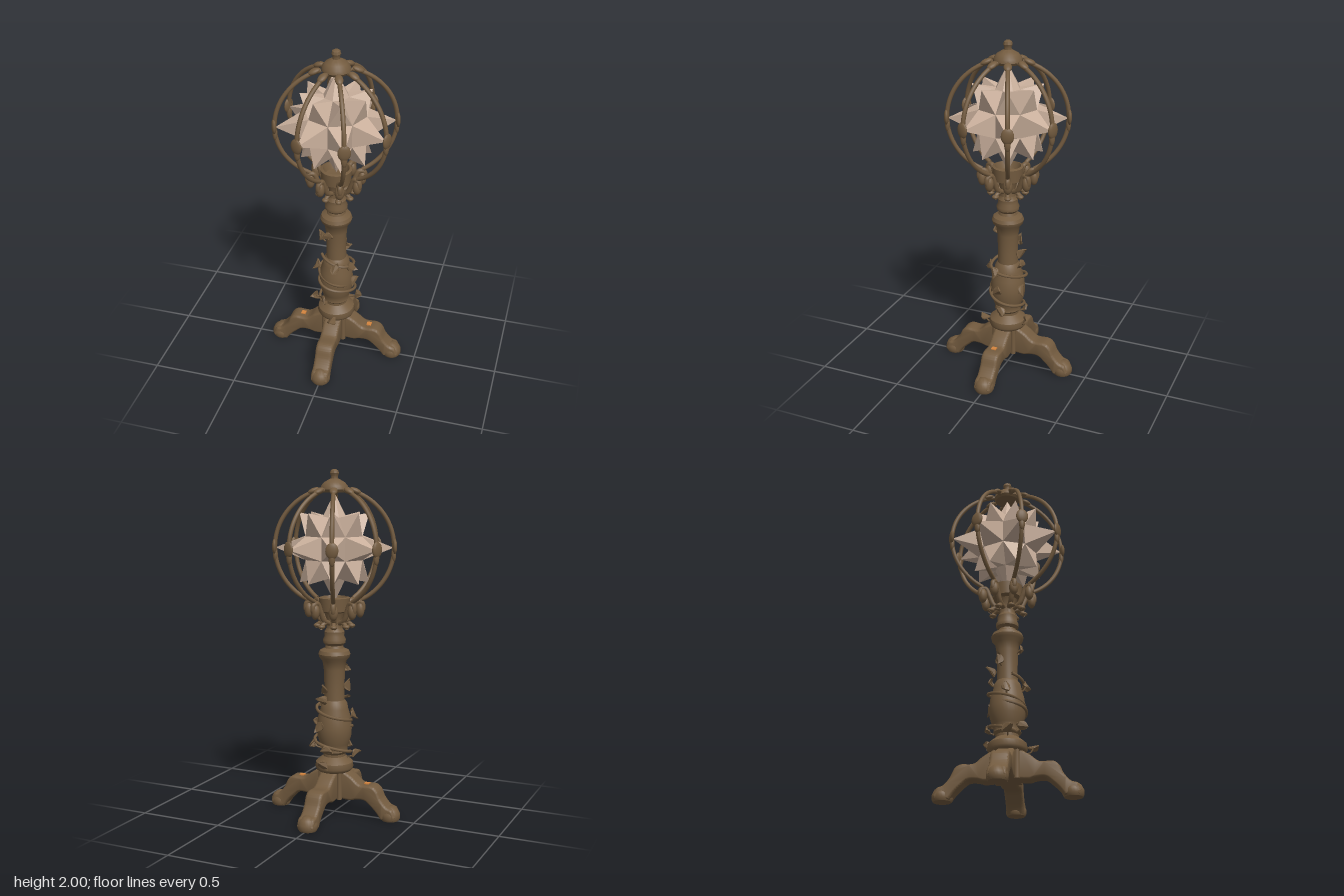
import * as THREE from 'three';
import { toCreasedNormals } from 'three/addons/utils/BufferGeometryUtils.js';

const material = (name, color, extra = {}) => {
  const m = new THREE.MeshStandardMaterial({ color, ...extra });
  m.name = name;
  return m;
};
const v2 = (p) => new THREE.Vector2(p[0], p[1]);
const v3 = (x, y, z) => new THREE.Vector3(x, y, z);

export function createModel() {
  const bronze = material('bronze', 0x735b3f, { side: THREE.DoubleSide });
  const glass = material('pale glass', 0xcbb19d, { flatShading: true, side: THREE.DoubleSide });
  const amber = material('amber', 0xd4853f);
  const root = new THREE.Group();
  root.name = 'starLamp';

  const add = (parent, name, geometry, mat = bronze, pos = [0, 0, 0], scale = [1, 1, 1]) => {
    const m = new THREE.Mesh(geometry, mat);
    m.name = name;
    m.position.set(...pos);
    m.scale.set(...scale);
    parent.add(m);
    return m;
  };
  // calls build() with a group turned to each of n directions, local +x pointing outward
  const around = (n, offset, name, build) => {
    for (let i = 0; i < n; i++) {
      const g = new THREE.Group();
      g.name = name;
      g.rotation.y = offset + (i * Math.PI * 2) / n;
      build(g, i);
      root.add(g);
    }
  };
  const lathe = (pts, seg = 32) => toCreasedNormals(new THREE.LatheGeometry(pts.map(v2), seg), 0.6);
  const tube = (pts, r, seg = 24, sides = 8) =>
    new THREE.TubeGeometry(new THREE.CatmullRomCurve3(pts.map((p) => v3(...p))), seg, r, sides);
  const ball = new THREE.SphereGeometry(1, 14, 10);

  // turned column from the leg hub up to the cup under the cage
  add(root, 'column', lathe([
    [0, 0.1], [0.075, 0.1], [0.085, 0.12], [0.085, 0.25], [0.105, 0.265], [0.112, 0.28], [0.108, 0.31],
    [0.085, 0.33], [0.065, 0.345], [0.065, 0.36], [0.078, 0.375], [0.075, 0.39], [0.085, 0.42], [0.1, 0.47],
    [0.102, 0.52], [0.095, 0.58], [0.08, 0.63], [0.075, 0.66], [0.06, 0.68], [0.058, 0.75], [0.062, 0.86],
    [0.07, 0.91], [0.088, 0.93], [0.093, 0.95], [0.085, 0.97], [0.055, 0.985], [0.05, 1.0], [0.064, 1.015],
    [0.066, 1.035], [0.056, 1.055], [0.058, 1.08], [0.045, 1.1], [0.045, 1.15], [0.06, 1.19], [0.085, 1.2],
    [0.09, 1.275], [0.075, 1.28], [0.06, 1.24], [0, 1.23],
  ]));

  // four bracket legs with rounded feet
  const legShape = new THREE.Shape();
  legShape.moveTo(0.05, 0.1);
  legShape.lineTo(0.05, 0.27);
  legShape.lineTo(0.085, 0.262);
  legShape.splineThru([[0.13, 0.235], [0.18, 0.198], [0.25, 0.197], [0.285, 0.175], [0.31, 0.125],
    [0.345, 0.085], [0.38, 0.07], [0.4, 0.03]].map(v2));
  legShape.lineTo(0.39, 0.005);
  legShape.lineTo(0.31, 0.005);
  legShape.splineThru([[0.285, 0.04], [0.25, 0.075], [0.21, 0.105], [0.16, 0.105], [0.12, 0.095], [0.05, 0.1]].map(v2));
  const legGeo = new THREE.ExtrudeGeometry(legShape, {
    depth: 0.066, bevelThickness: 0.018, bevelSize: 0.014, bevelOffset: -0.014, bevelSegments: 3, curveSegments: 24,
  });
  legGeo.translate(0, 0, -0.033);
  const legSmooth = toCreasedNormals(legGeo, 0.7);
  const footGeo = lathe([[0, 0], [0.05, 0], [0.058, 0.015], [0.057, 0.04], [0.045, 0.065], [0.025, 0.08], [0, 0.085]], 24);
  around(4, 0, 'leg', (g, i) => {
    add(g, 'legBracket', legSmooth);
    add(g, 'foot', footGeo, bronze, [0.355, 0, 0]);
    if (i % 2 === 0) {
      add(g, 'amberInlay', new THREE.BoxGeometry(0.028, 0.006, 0.03), amber, [0.21, 0.2, 0]);
    }
  });
  around(4, Math.PI / 4, 'hubPost', (g) =>
    add(g, 'post', new THREE.CylinderGeometry(0.016, 0.016, 0.16, 10), bronze, [0.083, 0.18, 0]));

  // faceted star: pyramids over a spherical grid, plus a spike at each pole
  const tris = [];
  const sph = (r, el, az) => {
    const e = THREE.MathUtils.degToRad(el), a = THREE.MathUtils.degToRad(az);
    return v3(r * Math.cos(e) * Math.cos(a), r * Math.sin(e), r * Math.cos(e) * Math.sin(a));
  };
  const tri = (a, b, c) => {
    const n = b.clone().sub(a).cross(c.clone().sub(a));
    const out = n.dot(a.clone().add(b).add(c)) > 0;
    [a, out ? b : c, out ? c : b].forEach((p) => tris.push(p.x, p.y, p.z));
  };
  const R = 0.185;
  const rows = [[-67, -21, -45, 0.28], [-21, 21, 0, 0.335], [21, 67, 45, 0.28]];
  for (let i = 0; i < 8; i++) {
    const a = i * 45, b = a + 45;
    for (const [lo, hi, mid, reach] of rows) {
      const c = [sph(R, lo, a), sph(R, lo, b), sph(R, hi, b), sph(R, hi, a)];
      const tip = sph(reach, mid, a + 22.5);
      c.forEach((p, k) => tri(p, c[(k + 1) % 4], tip));
    }
    for (const s of [-1, 1]) tri(sph(R, 67 * s, a), sph(R, 67 * s, b), v3(0, 0.31 * s, 0));
  }
  const starGeo = new THREE.BufferGeometry();
  starGeo.setAttribute('position', new THREE.Float32BufferAttribute(tris, 3));
  starGeo.computeVertexNormals();
  add(root, 'star', starGeo, glass, [0, 1.56, 0]);

  // cage of eight ribs with ornaments, top leaves and crown scrolls
  const ribPts = [];
  for (let i = 0; i <= 16; i++) {
    const t = THREE.MathUtils.degToRad(-64 + (i / 16) * 140);
    ribPts.push([0.338 * Math.cos(t), 1.56 + 0.333 * Math.sin(t), 0]);
  }
  const ribGeo = tube(ribPts, 0.0125, 48);
  const scrollGeo = tube([[0.04, 1.13, 0], [0.08, 1.15, 0], [0.105, 1.2, 0], [0.13, 1.25, 0],
    [0.158, 1.245, 0], [0.16, 1.205, 0], [0.14, 1.195, 0]], 0.015, 28);
  const lowLeafGeo = tube([[0.04, 1.13, 0], [0.07, 1.135, 0], [0.095, 1.12, 0], [0.108, 1.105, 0]], 0.013, 12);
  const tipGeo = new THREE.ConeGeometry(0.02, 0.06, 6).rotateZ(-Math.PI / 2);
  around(8, Math.PI / 8, 'cageRib', (g) => {
    add(g, 'rib', ribGeo);
    add(g, 'ribOrnament', ball, bronze, [0.341, 1.565, 0], [0.014, 0.045, 0.036]);
    add(g, 'ribOrnamentBud', ball, bronze, [0.336, 1.52, 0], [0.014, 0.042, 0.018]);
    add(g, 'spikeCap', tipGeo, bronze, [0.305, 1.56, 0]);
    add(g, 'topLeaf', ball, bronze, [0.118, 1.878, 0], [0.036, 0.016, 0.023]).rotation.z = -0.4;
    add(g, 'crownScroll', scrollGeo);
    add(g, 'scrollBulb', ball, bronze, [0.147, 1.205, 0], [0.025, 0.045, 0.027]);
    add(g, 'lowerLeaf', lowLeafGeo);
    add(g, 'lowerLeafTip', ball, bronze, [0.098, 1.115, 0], [0.022, 0.013, 0.02]);
  });

  // domed cap and finial
  add(root, 'capFinial', lathe([[0, 1.87], [0.07, 1.87], [0.08, 1.885], [0.076, 1.905], [0.06, 1.925], [0.035, 1.94],
    [0.021, 1.947], [0.02, 1.96], [0.026, 1.975], [0.022, 1.99], [0.01, 1.998], [0, 2]], 24));

  // vines winding round the column
  const vine = (name, y0, y1, a0, turns, r) => {
    const pts = [];
    for (let i = 0; i <= 24; i++) {
      const t = i / 24, a = a0 + t * turns * Math.PI * 2, y = y0 + (y1 - y0) * t;
      const d = r + 0.022 * Math.sin(Math.PI * t) + 0.006 * Math.sin(t * 19);
      pts.push([d * Math.cos(a), y, d * Math.sin(a)]);
    }
    add(root, name, tube(pts, 0.009, 80, 6));
  };
  vine('lowerVine', 0.36, 0.56, 2.4, 1.3, 0.088);
  vine('upperVine', 0.5, 0.7, 0.2, 1.4, 0.085);

  // curled leaves on the vines
  const leafShape = new THREE.Shape();
  leafShape.moveTo(0, -0.035);
  leafShape.splineThru([[0.022, -0.02], [0.024, 0.002], [0.012, 0.024], [0, 0.04]].map(v2));
  leafShape.splineThru([[-0.012, 0.024], [-0.024, 0.002], [-0.022, -0.02], [0, -0.035]].map(v2));
  const leafGeo = new THREE.ExtrudeGeometry(leafShape, { depth: 0.008, bevelEnabled: false, curveSegments: 12 });
  const lp = leafGeo.attributes.position;
  for (let i = 0; i < lp.count; i++) lp.setZ(i, lp.getZ(i) + 9 * lp.getY(i) ** 2 - 12 * lp.getX(i) ** 2);
  leafGeo.computeVertexNormals();
  [[-0.095, 0.78, -0.03], [-0.03, 0.86, 0.075], [0.1, 0.64, 0.04], [0.02, 0.76, -0.09], [0.03, 0.69, -0.09],
    [-0.11, 0.6, 0.01], [-0.12, 0.37, 0.02], [0.125, 0.41, -0.01], [0.05, 0.53, -0.1], [0, 0.4, -0.105],
    [0.01, 0.28, 0.14], [0.11, 0.53, 0.02], [0.02, 0.31, -0.11], [0.02, 0.65, 0.1], [-0.05, 0.4, 0.085],
  ].forEach(([x, y, z], i) => {
    const leaf = add(root, 'vineLeaf', leafGeo, bronze, [x, y, z]);
    leaf.rotation.order = 'YXZ';
    leaf.rotation.set(0.5 * Math.sin(i * 2.3) + (y < 0.3 ? -1.2 : 0), Math.atan2(x, z) + 0.5 * Math.sin(i * 1.7), i * 1.9);
    // stalk back to the column
    const k = 0.075 / Math.hypot(x, z);
    add(root, 'leafStalk', tube([[x * k, y - 0.03, z * k], [x * 0.9, y - 0.02, z * 0.9], [x, y, z]], 0.005, 8, 5));
  });
  return root;
}
